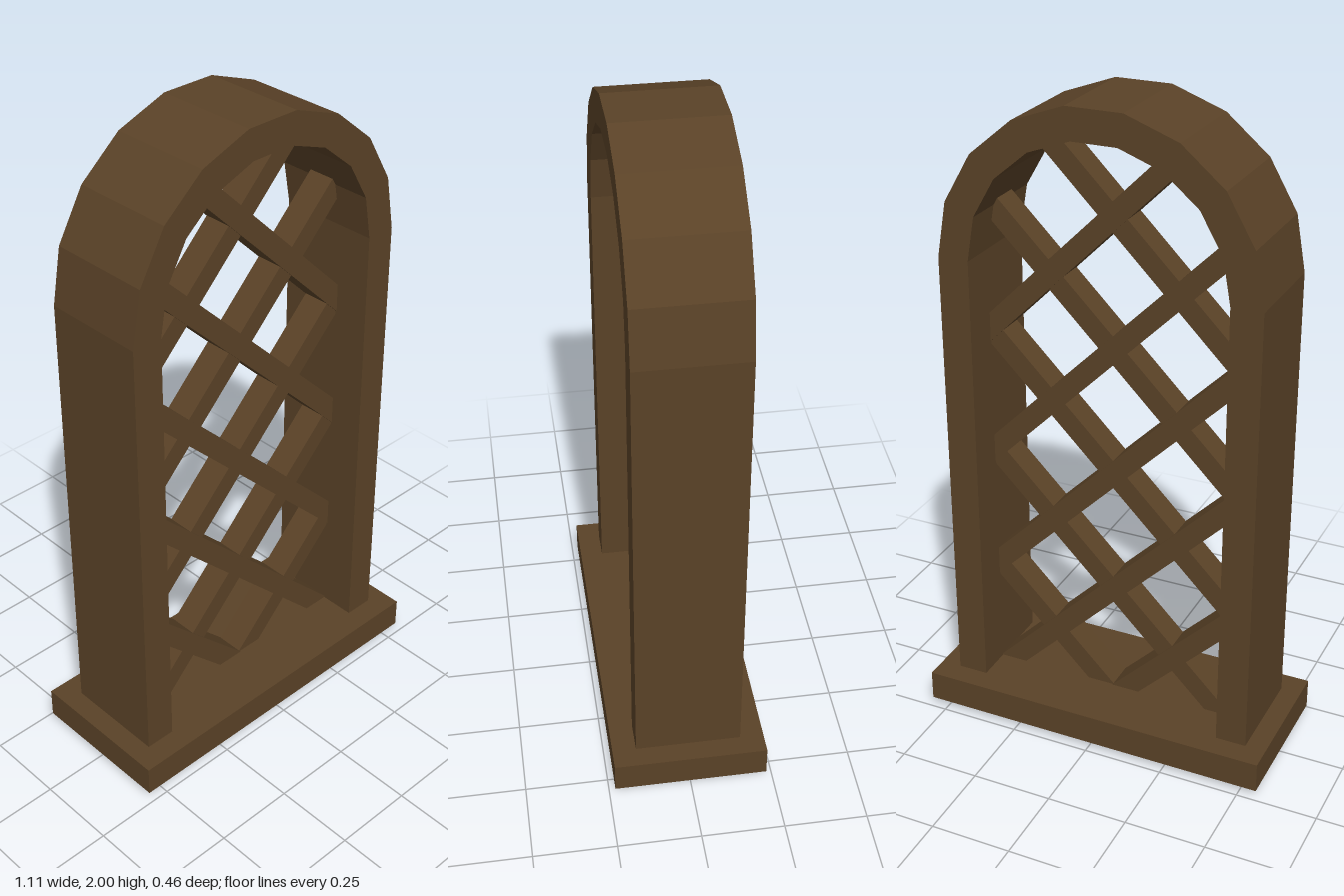
import * as THREE from 'three';

export function createModel() {
  const model = new THREE.Group();
  const wood = new THREE.MeshStandardMaterial({ color: 0x5a4227 });
  wood.name = 'dark wood';

  const add = (name, geometry, x = 0, y = 0, z = 0) => {
    const mesh = new THREE.Mesh(geometry, wood);
    mesh.name = name;
    mesh.position.set(x, y, z);
    model.add(mesh);
    return mesh;
  };

  // Sill
  add('sill', new THREE.BoxGeometry(1.108, 0.095, 0.464), 0, 0.0675, 0);

  // Arched frame: straight jambs and a nine-sided half round
  const springY = 1.517, baseY = 0.1, sides = 9;
  const arc = (r) => Array.from({ length: sides + 1 }, (_, i) => {
    const a = (i / sides) * Math.PI;
    return new THREE.Vector2(r * Math.cos(a), springY + r * Math.sin(a));
  });
  const outer = 0.49, inner = 0.395, depth = 0.32;
  const frame = new THREE.Shape([
    new THREE.Vector2(outer, baseY), ...arc(outer), new THREE.Vector2(-outer, baseY),
    new THREE.Vector2(-inner, baseY), ...arc(inner).reverse(), new THREE.Vector2(inner, baseY),
  ]);
  const frameGeometry = new THREE.ExtrudeGeometry(frame, { depth, bevelEnabled: false });
  add('archFrame', frameGeometry, 0, 0, -depth / 2);

  // Diagonal lattice: each bar follows y = c - x between two x values
  const bars = [
    [0.073, -0.42, 0.05],
    [0.47, -0.42, 0.4],
    [0.87, -0.42, 0.42],
    [1.27, -0.4, 0.42],
    [1.67, -0.225, 0.42],
  ];
  for (const side of [1, -1]) {
    const thickness = side > 0 ? 0.094 : 0.086;
    bars.forEach(([c, x0, end], i) => {
      // The lowest mirrored bar stops inside the sill
      const x1 = side < 0 && i === 0 ? 0.02 : end;
      const middle = (x0 + x1) / 2;
      const bar = add(side > 0 ? 'fallingBar' : 'risingBar',
        new THREE.BoxGeometry((x1 - x0) * Math.SQRT2, 0.064, thickness),
        side * middle, c - middle, 0);
      bar.rotation.z = -side * Math.PI / 4;
    });
  }
  return model;
}
